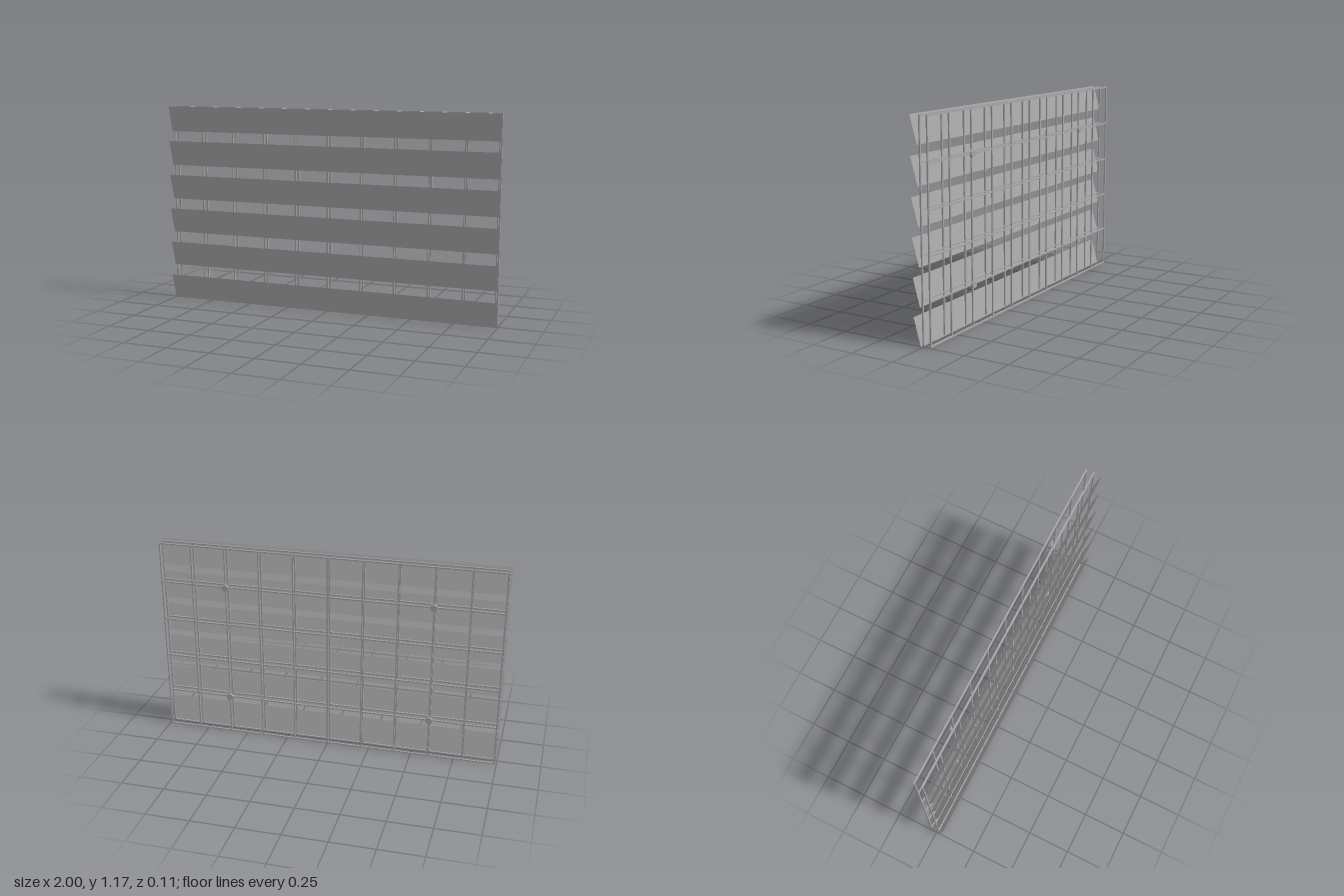
import * as THREE from 'three';

const HEIGHT = 1.17;
const HALF = 0.99;
const BAR = 0.008;

export function createModel() {
  const model = new THREE.Group();
  model.name = 'louvredScreen';

  const steel = new THREE.MeshStandardMaterial({ color: 0xa6a6a6 });
  steel.name = 'steel grey';
  const sheet = new THREE.MeshStandardMaterial({ color: 0xa6a6a6, side: THREE.DoubleSide });
  sheet.name = 'slat grey';

  const add = (parent, name, geometry, material, x, y, z) => {
    const mesh = new THREE.Mesh(geometry, material);
    mesh.name = name;
    mesh.position.set(x, y, z);
    parent.add(mesh);
    return mesh;
  };

  // Two matching grids of thin bars, one behind the other
  const upright = new THREE.BoxGeometry(BAR, HEIGHT, BAR);
  const rail = new THREE.BoxGeometry(HALF * 2, BAR, BAR);
  const railY = (i) => BAR / 2 + (i * (HEIGHT - BAR)) / 5;
  for (const [name, z] of [['frontGrid', 0.006], ['backGrid', -0.039]]) {
    const grid = new THREE.Group();
    grid.name = name;
    for (let i = -5; i <= 5; i++) {
      const x = Math.max(-HALF + BAR / 2, Math.min(HALF - BAR / 2, i * 0.2));
      add(grid, 'upright', upright, steel, x, HEIGHT / 2, z);
    }
    for (let i = 0; i <= 5; i++) add(grid, 'rail', rail, steel, 0, railY(i), z);
    model.add(grid);
  }

  // Six thin slats, leaning forward at the top
  const rise = 0.148, lean = 0.041;
  const slat = new THREE.PlaneGeometry(2, Math.hypot(rise, lean));
  for (let i = 0; i < 6; i++) {
    const y = rise / 2 + (i * (HEIGHT - rise)) / 5;
    add(model, 'slat', slat, sheet, 0, y, 0.034).rotation.x = Math.atan2(lean, rise);
  }

  // Four round mounting discs on the back grid
  const disc = new THREE.CylinderGeometry(0.02, 0.02, 0.014, 24).rotateX(Math.PI / 2);
  for (const x of [-0.6, 0.6]) {
    for (const i of [1, 4]) add(model, 'mountingDisc', disc, steel, x, railY(i), -0.047);
  }

  return model;
}
